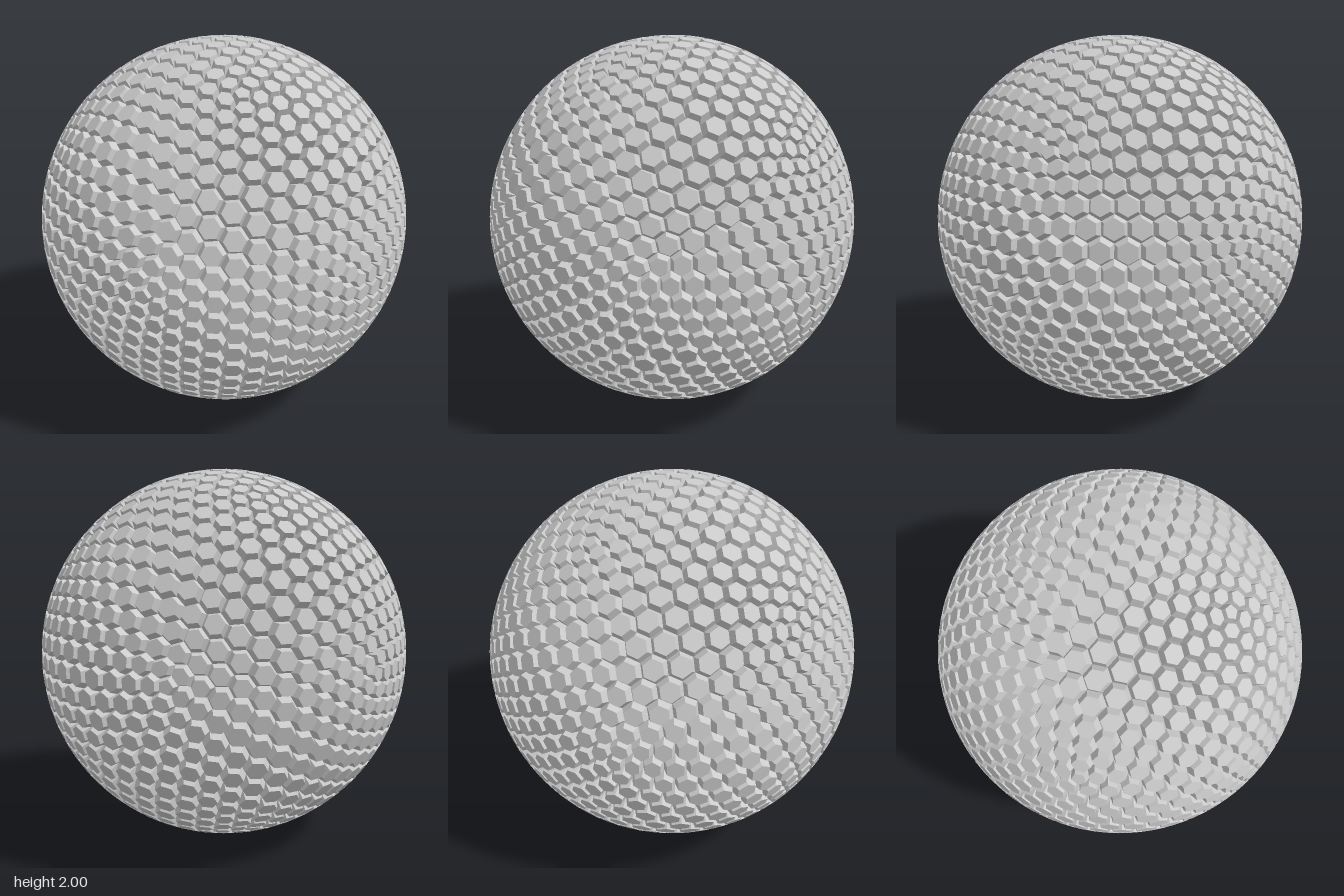
import * as THREE from 'three';

const FREQ = 18;          // edge divisions of each icosahedron side
const TOP_SCALE = 0.73;   // raised face size relative to its cell
const VALLEY = 0.95;      // radius of the grooves between cells

// Collect the honeycomb cells: every third grid point is a cell centre, the rest are its corners
function honeycombCells() {
  const base = new THREE.IcosahedronGeometry(1, 0);
  base.rotateX(Math.atan(2 / (1 + Math.sqrt(5)))).rotateZ(Math.PI / 2); // one pentagon faces +z
  const pos = base.getAttribute('position');
  const cells = new Map();

  for (let f = 0; f < pos.count; f += 3) {
    const [A, B, C] = [0, 1, 2].map(k => new THREE.Vector3().fromBufferAttribute(pos, f + k));
    const point = ([i, j]) => new THREE.Vector3()
      .addScaledVector(A, FREQ - i - j).addScaledVector(B, i).addScaledVector(C, j).normalize();
    const addWedge = tri => {
      while ((tri[0][0] - tri[0][1]) % 3 !== 0) tri.push(tri.shift());
      const [c, p, q] = tri.map(point);
      const key = c.toArray().map(v => Math.round(v * 1000)).map(v => v + 0).join();
      if (!cells.has(key)) cells.set(key, []);
      cells.get(key).push([p, q]);
    };
    for (let i = 0; i < FREQ; i++) {
      for (let j = 0; i + j < FREQ; j++) {
        addWedge([[i, j], [i + 1, j], [i, j + 1]]);
        if (i + j < FREQ - 1) addWedge([[i + 1, j], [i + 1, j + 1], [i, j + 1]]);
      }
    }
  }
  return [...cells.values()];
}

// Raised stud: flat top polygon with sloping walls down to the shared groove
function addStud(out, sides) {
  const mid = new THREE.Vector3();
  sides.forEach(([p, q]) => mid.add(p).add(q));
  mid.divideScalar(sides.length * 2);
  const raise = p => {
    const t = mid.clone().lerp(p, TOP_SCALE);
    return t.multiplyScalar(mid.lengthSq() / t.dot(mid));   // keep the top flat
  };
  for (const [p, q] of sides) {
    const tp = raise(p), tq = raise(q);
    const bp = p.clone().multiplyScalar(VALLEY), bq = q.clone().multiplyScalar(VALLEY);
    for (const v of [mid, tp, tq, tp, bp, bq, tp, bq, tq]) out.push(v.x, v.y, v.z);
  }
}

export function createModel() {
  const group = new THREE.Group();
  group.name = 'studdedSphere';
  const material = new THREE.MeshStandardMaterial({ color: 0xcccccc, flatShading: true });
  const cells = honeycombCells();

  // Twelve pentagon studs, all others hexagons
  for (const [name, count] of [['hexagonStuds', 6], ['pentagonStuds', 5]]) {
    const out = [];
    cells.filter(c => c.length === count).forEach(c => addStud(out, c));
    const geometry = new THREE.BufferGeometry();
    geometry.setAttribute('position', new THREE.Float32BufferAttribute(out, 3));
    geometry.computeVertexNormals();
    const mesh = new THREE.Mesh(geometry, material);
    mesh.name = name;
    mesh.position.y = 1;
    group.add(mesh);
  }
  return group;
}
